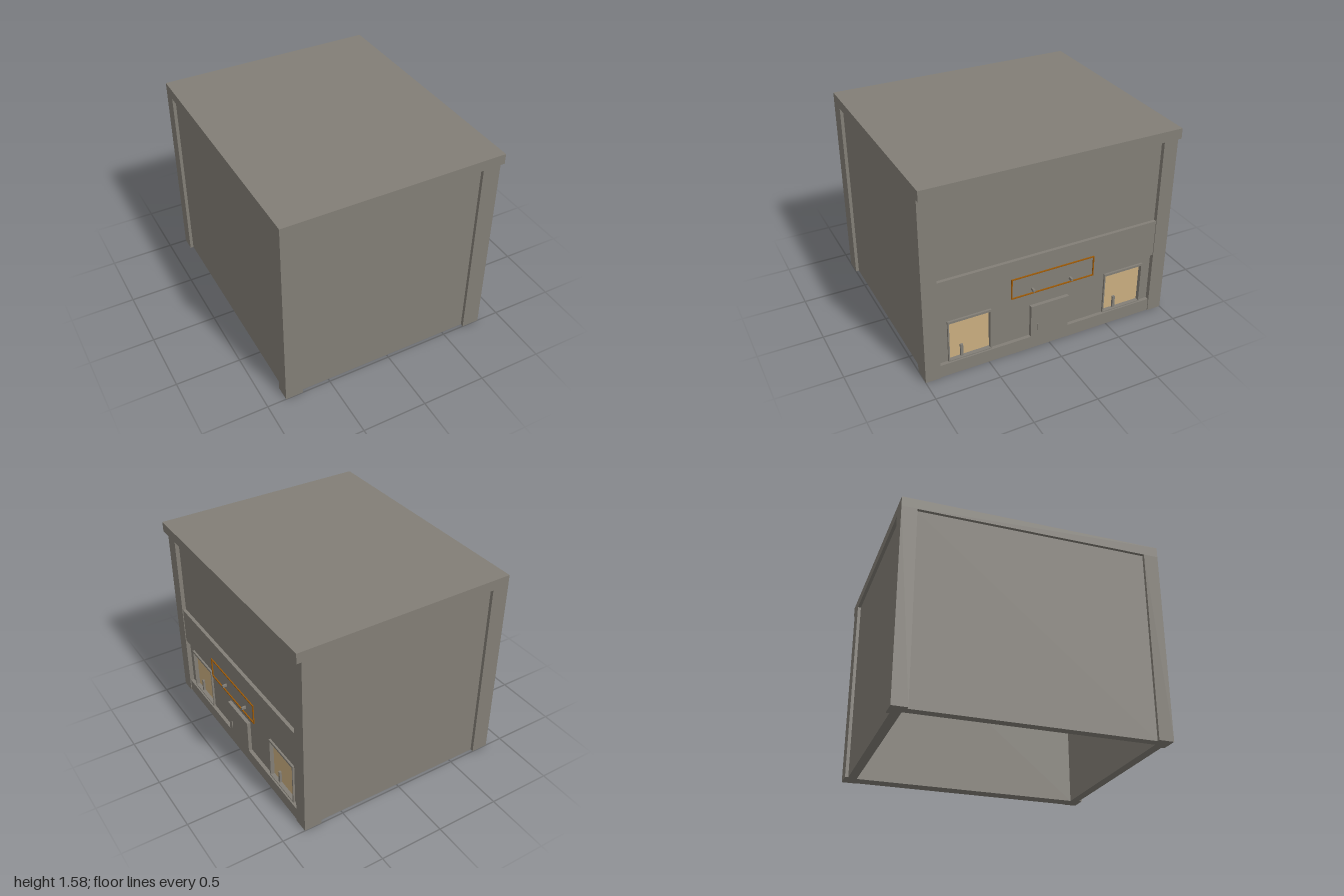
import * as THREE from 'three';

const mat = (name, color) => {
  const m = new THREE.MeshStandardMaterial({ color });
  m.name = name;
  return m;
};

// Closed shape from corner points
const poly = (pts) => new THREE.Shape(pts.map(([a, b]) => new THREE.Vector2(a, b)));
const rect = (u0, u1, v0, v1) => poly([[u0, v0], [u1, v0], [u1, v1], [u0, v1]]);

export function createModel() {
  const group = new THREE.Group();
  group.name = 'building';
  const stone = mat('stone', 0x827e76);
  const glass = mat('warmGlass', 0xcaae80);
  const amber = mat('amberTrim', 0x9c5a08);

  const add = (name, geometry, material) => {
    const mesh = new THREE.Mesh(geometry, material);
    mesh.name = name;
    group.add(mesh);
    return mesh;
  };
  // Box given by its limits on each axis
  const box = (name, x0, x1, y0, y1, z0, z1, material = stone) => {
    const g = new THREE.BoxGeometry(x1 - x0, y1 - y0, z1 - z0);
    g.translate((x0 + x1) / 2, (y0 + y1) / 2, (z0 + z1) / 2);
    return add(name, g, material);
  };
  // Plate on the facade: shape drawn in (-z, y), thickened from x0 to x1
  const plate = (name, shape, x0, x1, material = stone) => {
    const g = new THREE.ExtrudeGeometry(shape, { depth: x1 - x0, bevelEnabled: false });
    g.rotateY(Math.PI / 2).translate(x0, 0, 0);
    return add(name, g, material);
  };

  // Hollow walls with corner pillars and recessed side panels
  const plan = poly([
    [-0.855, -1], [-0.72, -1], [-0.72, -0.975], [0.68, -0.975], [0.68, -1], [0.82, -1],
    [0.82, -0.885], [0.76, -0.885], [0.76, 0.885], [0.82, 0.885],
    [0.82, 1], [0.68, 1], [0.68, 0.975], [-0.72, 0.975], [-0.72, 1], [-0.855, 1],
    [-0.855, 0.885], [-0.83, 0.885], [-0.83, -0.885], [-0.855, -0.885],
  ]);
  plan.holes.push(rect(-0.76, 0.7, -0.905, 0.905));
  const walls = new THREE.ExtrudeGeometry(plan, { depth: 1.495, bevelEnabled: false });
  walls.rotateX(-Math.PI / 2);
  add('wallsAndPillars', walls, stone);

  // Roof slab overhanging the facade
  box('roof', -0.855, 0.855, 1.495, 1.575, -1, 1);

  // Facade layers
  box('upperPanel', 0.76, 0.788, 0.82, 1.495, -0.885, 0.885);
  box('signBand', 0.76, 0.814, 0.52, 0.82, -0.885, 0.885);
  const ground = rect(-0.885, 0.885, 0, 0.52);
  const windows = [-0.64, 0.64];
  for (const u of windows) ground.holes.push(rect(u - 0.16, u + 0.16, 0.112, 0.437));
  plate('groundFloorPanel', ground, 0.76, 0.785);

  // Plinth rising into the door
  plate('plinthAndDoor', poly([
    [-0.885, 0], [0.885, 0], [0.885, 0.105], [0.157, 0.105],
    [0.157, 0.375], [-0.157, 0.375], [-0.157, 0.105], [-0.885, 0.105],
  ]), 0.785, 0.813);
  box('doorHandle', 0.813, 0.82, 0.155, 0.21, 0.1, 0.108);

  // Windows
  for (const u of windows) {
    const frame = rect(u - 0.17, u + 0.17, 0.105, 0.455);
    frame.holes.push(rect(u - 0.16, u + 0.16, 0.112, 0.437));
    plate('windowFrame', frame, 0.785, 0.8);
    plate('windowPane', rect(u - 0.16, u + 0.16, 0.112, 0.437), 0.762, 0.768, glass);
    box('windowPost', 0.768, 0.785, 0.112, 0.21, -u + 0.05, -u + 0.07);
  }

  // Open sign frame on two brackets
  const sign = rect(-0.337, 0.337, 0.524, 0.692);
  sign.holes.push(rect(-0.329, 0.329, 0.532, 0.684));
  plate('signFrame', sign, 0.838, 0.847, amber);
  for (const z of [-0.155, 0.155]) {
    box('signBracket', 0.81, 0.849, 0.532, 0.55, z - 0.008, z + 0.008);
  }
  return group;
}
